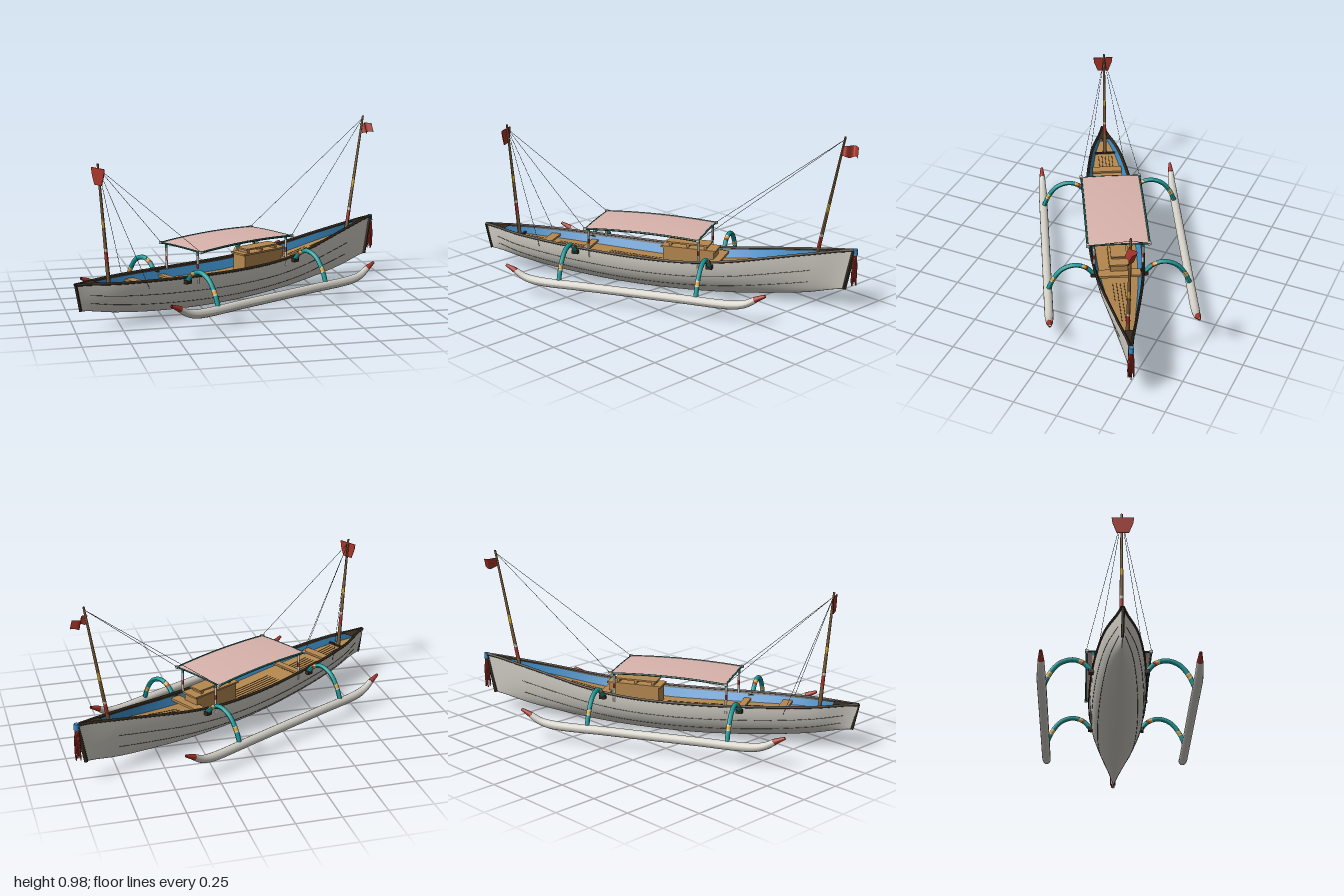
import * as THREE from 'three';
import { ParametricGeometry } from 'three/addons/geometries/ParametricGeometry.js';

const V = (x, y, z) => new THREE.Vector3(x, y, z);

export function createModel() {
  const paint = (name, color, side = THREE.DoubleSide) => {
    const m = new THREE.MeshStandardMaterial({ color, side });
    m.name = name;
    return m;
  };
  const white = paint('hull white', 0xd3d0c7);
  const blue = paint('inner blue', 0x3a8ac4);
  const wood = paint('deck wood', 0xb5884f);
  const dark = paint('dark trim', 0x33291e);
  const teal = paint('teal', 0x1a9896);
  const red = paint('red', 0xa8352a);
  const pink = paint('canopy pink', 0xd9b3ac);
  const yellow = paint('yellow', 0xd9a92e);
  const brown = paint('mast brown', 0x7d5d3a);
  const green = paint('dark green', 0x1f564c);

  const root = new THREE.Group();
  root.name = 'outriggerBoat';
  const boat = new THREE.Group();
  boat.name = 'boat';
  boat.rotation.y = 0.486;
  boat.position.set(-0.0126, 0, -0.024);
  root.add(boat);

  const add = (name, geometry, material) => {
    const m = new THREE.Mesh(geometry, material);
    m.name = name;
    boat.add(m);
    return m;
  };
  const box = (name, mat, x, y, z, w, h, d) => add(name, new THREE.BoxGeometry(w, h, d), mat).position.set(x, y, z);

  // Round bar along points; radius is a number or a rule of t, from t0 to t1
  const bar = (name, mat, pts, radius, t0 = 0, t1 = 1, n = 8, sides = 10) => {
    const whole = new THREE.CatmullRomCurve3(pts);
    const part = [];
    for (let i = 0; i <= n; i++) part.push(whole.getPointAt(t0 + (t1 - t0) * i / n));
    const path = new THREE.CatmullRomCurve3(part);
    const g = new THREE.TubeGeometry(path, n, 1, sides);
    const p = g.attributes.position, v = V();
    for (let i = 0; i < p.count; i++) {
      const k = Math.floor(i / (sides + 1)) / n, c = path.getPointAt(k);
      const r = typeof radius === 'number' ? radius : radius(t0 + (t1 - t0) * k);
      v.fromBufferAttribute(p, i).sub(c).multiplyScalar(r).add(c);
      p.setXYZ(i, v.x, v.y, v.z);
    }
    g.computeVertexNormals();
    return add(name, g, mat);
  };
  // Bar painted in successive bands: [end, material]
  const banded = (name, pts, radius, bands) => {
    let t = 0;
    for (const [end, mat] of bands) {
      bar(name, mat, pts, radius, t, end, 10);
      t = end;
    }
  };

  // Hull lines, sampled evenly from bow (u = -1) to stern (u = 1)
  const line = a => {
    const c = new THREE.SplineCurve(a.map((y, i) => new THREE.Vector2(i, y)));
    return u => c.getPoint((u + 1) / 2).y;
  };
  const half = line([0.004, 0.078, 0.118, 0.14, 0.152, 0.154, 0.146, 0.122, 0.085, 0.044, 0.004]);
  const sheer = line([0.262, 0.249, 0.237, 0.226, 0.217, 0.213, 0.219, 0.242, 0.278, 0.313, 0.343]);
  const keel = line([0.115, 0.072, 0.04, 0.018, 0.004, 0, 0.004, 0.015, 0.036, 0.066, 0.112]);
  // Point on the hull: v = 0 keel, v = 1 rail
  const hullPoint = (u, v, side = 1) => {
    const f = Math.pow(v, 1.6);
    const x = u * (u < 0 ? 1.085 + 0.031 * f : 1.065 + 0.045 * f);
    const z = half(u) * Math.pow(Math.sin(v * Math.PI / 2), 0.9);
    return V(x, keel(u) + (sheer(u) - keel(u)) * f, z * side);
  };
  const along = (u0, u1, fn, n = 30) => Array.from({ length: n + 1 }, (_, i) => fn(u0 + (u1 - u0) * i / n));

  // The deck follows the rail; the inner wall slopes from rail down to its edge
  const deckY = u => sheer(u) - 0.06 + 0.018 * Math.abs(u);
  const deckHalf = u => half(u) * 0.77;
  const innerWall = (name, mat, side, b0, b1) => add(name, new ParametricGeometry((a, c, t) => {
    const u = -0.95 + 1.9 * a, b = b0 + (b1 - b0) * c;
    const rail = Math.max(half(u) - 0.006, 0.001);
    t.set(u * 1.112, sheer(u) + (deckY(u) - sheer(u)) * b, side * (rail + (deckHalf(u) - rail) * b));
  }, 50, 2), mat);

  for (const s of [-1, 1]) {
    add('hullSide', new ParametricGeometry((a, b, t) => t.copy(hullPoint(a * 2 - 1, b, s)), 64, 16), white);
    innerWall('coaming', dark, s, 0, 0.2);
    innerWall('innerWall', blue, s, 0.2, 1);
    bar('gunwale', dark, along(-1, 1, u => hullPoint(u, 1, s)), 0.008, 0, 1, 50, 8);
    for (const v of [0.47, 0.72])
      bar('plankSeam', dark, along(-0.94, 0.8, u => hullPoint(u, v, s)), 0.0013, 0, 1, 60, 5);
  }
  bar('stemPost', dark, [hullPoint(-1, 0), hullPoint(-1, 1)], 0.008);
  bar('sternPost', dark, [hullPoint(1, 0), hullPoint(1, 1)], 0.011);

  // Flat boards spanning the hull between two stations
  const board = (name, mat, u0, u1, height, width) =>
    add(name, new ParametricGeometry((a, b, t) => {
      const u = u0 + (u1 - u0) * a;
      t.set(u * 1.112, height(u), (b * 2 - 1) * width(u));
    }, 40, 2), mat);
  board('deck', wood, -0.92, 0.88, deckY, deckHalf);
  board('bowCap', dark, -1, -0.88, u => sheer(u) + 0.003, half);
  board('sternCap', dark, 0.86, 1, u => sheer(u) + 0.003, half);
  for (let i = -2; i <= 2; i++)
    for (const [a, b] of [[-0.78, -0.67], [-0.59, -0.4], [-0.3, 0], [0.35, 0.53], [0.55, 0.72]]) {
      const z = i * 0.021;
      if (Math.abs(z) < Math.min(deckHalf(a), deckHalf(b)) - 0.006)
        bar('deckGap', dark, along(a, b, u => V(u * 1.112, deckY(u), z), 4), 0.0016, 0, 1, 4, 6);
    }
  box('mastBeam', dark, -0.89, deckY(-0.8) + 0.008, 0, 0.012, 0.01, 0.13);

  // Thwarts and the bench amidships
  box('thwart', wood, -0.7, 0.21, 0, 0.055, 0.012, 0.18);
  box('thwart', wood, 0.335, 0.208, 0, 0.06, 0.014, 0.24);
  box('thwart', wood, -0.46, 0.19, 0, 0.04, 0.012, 0.23);
  box('benchBox', wood, 0.172, 0.207, 0, 0.3, 0.1, 0.1);
  box('benchLid', wood, 0.172, 0.262, 0, 0.325, 0.01, 0.114);
  box('benchTop', wood, 0.165, 0.287, 0, 0.25, 0.009, 0.09);
  for (const x of [0.06, 0.165, 0.27]) box('benchPost', wood, x, 0.274, 0, 0.015, 0.022, 0.08);

  // Canopy with a gentle crown, rim and banded posts
  const crown = (x, z) => 0.358 + 0.013 * (1 - ((x + 0.07) / 0.34) ** 2) + 0.004 * (1 - (z / 0.175) ** 2);
  const sheet = new THREE.BoxGeometry(0.67, 0.006, 0.345, 14, 1, 10).translate(-0.07, 0, 0);
  const sp = sheet.attributes.position;
  for (let i = 0; i < sp.count; i++) sp.setY(i, sp.getY(i) + crown(sp.getX(i), sp.getZ(i)));
  sheet.computeVertexNormals();
  add('canopy', sheet, pink);
  for (const s of [-1, 1]) {
    bar('canopySideRim', green, along(-0.412, 0.272, x => V(x, crown(x, 0.175) + 0.001, s * 0.174), 12), 0.006, 0, 1, 12);
    const x = -0.07 + s * 0.337;
    bar('canopyEndRim', green, along(-0.18, 0.18, z => V(x, crown(x, z), z), 8), 0.005, 0, 1, 8);
    for (const px of [-0.4, 0.26]) {
      banded('canopyPost', [V(px, 0.18, s * 0.138), V(px, 0.362, s * 0.138)], 0.007,
        [[0.45, white], [0.6, red], [0.85, white], [1, teal]]);
      box('rimBracket', white, px < 0 ? -0.408 : 0.268, 0.36, s * 0.174, 0.018, 0.014, 0.018);
    }
  }

  // Floats with upturned red tips, and the arched arms that carry them
  for (const s of [-1, 1]) {
    const z = s * 0.405;
    const path = [[-0.8, 0.174], [-0.75, 0.151], [-0.69, 0.117], [-0.62, 0.101], [-0.3, 0.099], [-0.04, 0.099],
      [0.22, 0.099], [0.54, 0.101], [0.61, 0.117], [0.67, 0.151], [0.718, 0.174]].map(([x, y]) => V(x, y, z));
    const r = t => {
      const e = Math.min(t, 1 - t);
      return e < 0.045 ? 0.008 + e / 0.045 * 0.01 : 0.018 + Math.min(1, (e - 0.045) / 0.08) * 0.007;
    };
    bar('float', white, path, r, 0.042, 0.958, 60, 14);
    bar('floatTip', red, path, r, 0, 0.042, 6, 14);
    bar('floatTip', red, path, r, 0.958, 1, 6, 14);
    for (const x of [-0.48, 0.327]) {
      const arm = [[0.4, 0.115], [0.372, 0.182], [0.32, 0.249], [0.25, 0.274], [0.19, 0.255], [0.145, 0.208]]
        .map(([az, y]) => V(x, y, az * s));
      banded('outriggerArm', arm, 0.0135,
        [[0.16, teal], [0.18, white], [0.23, yellow], [0.25, white], [0.75, teal], [0.77, white], [0.81, yellow], [0.84, red], [1, teal]]);
      box('armSocket', dark, x, 0.205, s * 0.142, 0.036, 0.022, 0.04);
    }
  }

  // Masts
  const taper = t => 0.012 - 0.006 * t;
  banded('bowMast', [V(-0.895, 0.17, 0), V(-0.958, 0.885, 0)], taper,
    [[0.25, brown], [0.34, red], [0.36, white], [0.52, brown], [0.57, yellow], [1, brown]]);
  banded('sternMast', [V(0.883, 0.18, 0), V(1.037, 0.98, 0)], taper,
    [[0.2, brown], [0.28, red], [0.3, white], [0.46, brown], [0.52, yellow], [1, brown]]);

  // Rigging
  for (const s of [-1, 1]) {
    const rope = (a, b) => bar('rope', dark, [a, b], 0.0012, 0, 1, 2, 5);
    rope(V(-0.955, 0.86, 0), V(-0.41, 0.362, s * 0.176));
    rope(V(-0.955, 0.86, 0), V(-0.72, 0.2, s * 0.118));
    rope(V(1.035, 0.965, 0), V(0.27, 0.362, s * 0.176));
  }

  // Bow banner hung across the mast, and the waving stern flag
  const banner = new THREE.Shape([[-0.058, 0.862], [0.058, 0.862], [0.054, 0.83], [0.032, 0.772], [-0.032, 0.772], [-0.054, 0.83]]
    .map(([x, y]) => new THREE.Vector2(x, y)));
  const b = add('bowBanner', new THREE.ExtrudeGeometry(banner, { depth: 0.004, bevelEnabled: false }), red);
  b.rotation.y = Math.PI / 2;
  b.position.set(-0.964, 0, 0.006);
  add('sternFlag', new ParametricGeometry((a, c, t) =>
    t.set(1.022 + a * 0.09, 0.932 - c * (0.058 - 0.006 * Math.sin(a * 9)) - 0.004 * a,
      (c - 0.5) * 0.02 + 0.02 * Math.sin(a * 7)), 16, 4), red);

  // Stern tassel
  add('tasselCap', new THREE.CylinderGeometry(0.013, 0.015, 0.034, 14), blue).position.set(1.118, 0.334, 0);
  for (let i = 0; i < 12; i++) {
    const a = i * Math.PI / 6, c = Math.cos(a), d = Math.sin(a);
    bar('tasselStrand', red, [V(1.117 + c * 0.006, 0.325, d * 0.008), V(1.117 + c * 0.012, 0.25, d * 0.015),
      V(1.115 + c * 0.013, 0.14 + (i % 4) * 0.014, d * 0.016)], 0.0035, 0, 1, 6, 6);
  }
  return root;
}
